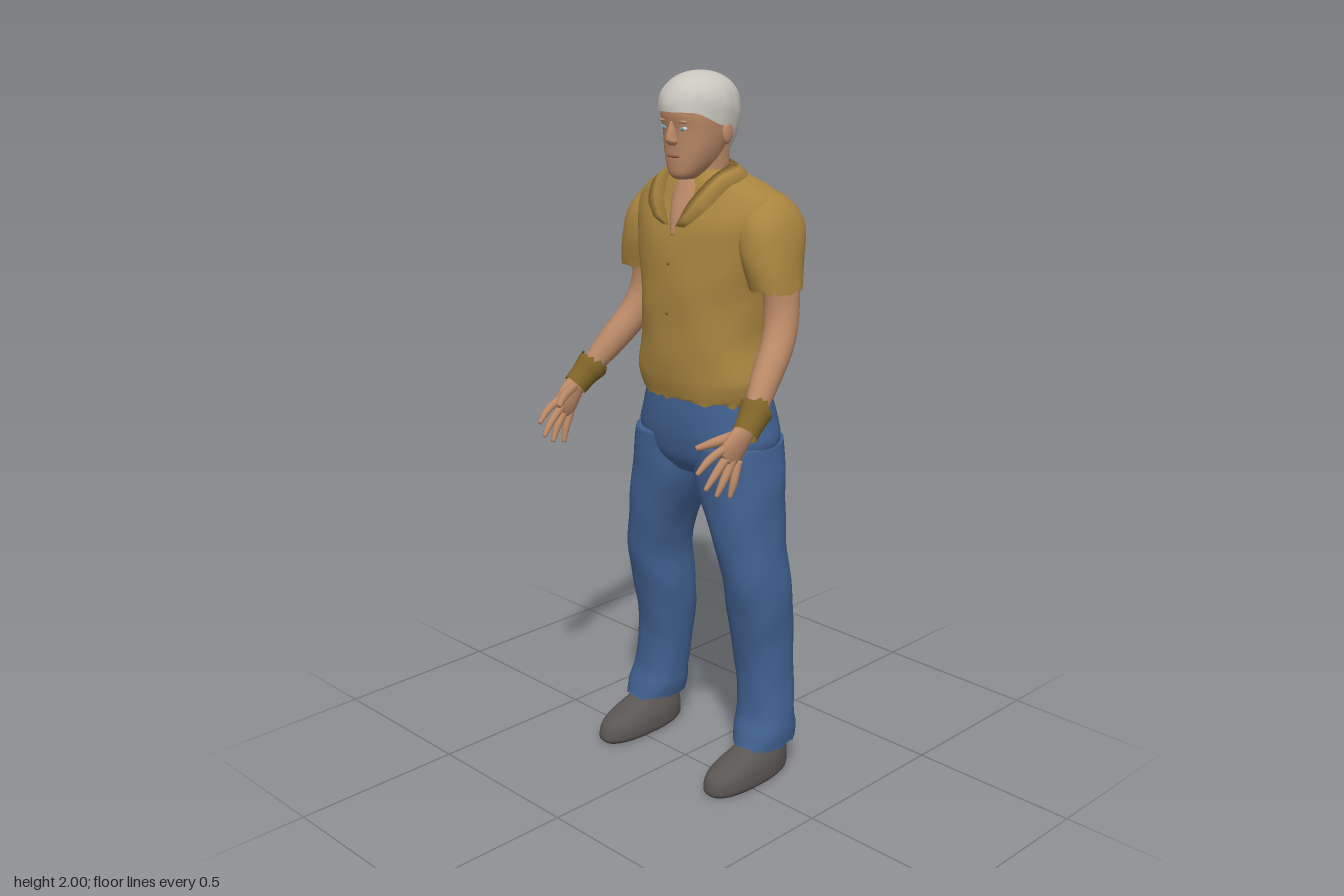
import * as THREE from 'three';

const V = (x, y, z) => new THREE.Vector3(x, y, z);
const smooth = THREE.MathUtils.smoothstep;
const TAU = Math.PI * 2;
const noise = (j) => { const s = Math.sin(j * 78.233) * 43758.5453; return s - Math.floor(s); };

// Catmull-Rom between b and c
function spline(a, b, c, d, t) {
  const k1 = c - a;
  const k2 = 2 * a - 5 * b + 4 * c - d;
  const k3 = 3 * (b - c) + d - a;
  return b + 0.5 * t * (k1 + t * (k2 + t * k3));
}

// Componentwise spline through rows of numbers
function sample(rows, steps) {
  const out = [];
  for (let i = 0; i < rows.length - 1; i++) {
    const a = rows[Math.max(i - 1, 0)], b = rows[i], c = rows[i + 1], d = rows[Math.min(i + 2, rows.length - 1)];
    for (let k = 0; k < steps; k++) {
      out.push(b.map((v, n) => spline(a[n], v, c[n], d[n], k / steps)));
    }
  }
  out.push(rows[rows.length - 1]);
  return out;
}

// Surface over closed rings of points, with optional end caps
function skin(rings, capStart = true, capEnd = true) {
  const n = rings[0].length, m = rings.length, pos = [], idx = [];
  rings.forEach((r) => r.forEach((p) => pos.push(p.x, p.y, p.z)));
  for (let i = 0; i < m - 1; i++) {
    for (let j = 0; j < n; j++) {
      const a = i * n + j, b = i * n + (j + 1) % n;
      idx.push(a, a + n, b, b, a + n, b + n);
    }
  }
  const cap = (i, flip) => {
    const c = rings[i].reduce((s, p) => s.add(p), V(0, 0, 0)).divideScalar(n), ci = pos.length / 3;
    pos.push(c.x, c.y, c.z);
    for (let j = 0; j < n; j++) {
      const a = i * n + j, b = i * n + (j + 1) % n;
      if (flip) idx.push(ci, b, a); else idx.push(ci, a, b);
    }
  };
  if (capStart) cap(0, false);
  if (capEnd) cap(m - 1, true);
  const g = new THREE.BufferGeometry();
  g.setAttribute('position', new THREE.Float32BufferAttribute(pos, 3));
  g.setIndex(idx);
  g.computeVertexNormals();
  return g;
}

// Horizontal sections, bottom to top: [y, x0, x1, zFront, zBack]
function loft(rows, { p = 2.3, seg = 40, fold = 0, jag = 0, capStart = true } = {}) {
  const pw = (v) => Math.sign(v) * Math.pow(Math.abs(v), 2 / p);
  const rings = sample(rows, 5).map(([y, x0, x1, zf, zb], i) => Array.from({ length: seg }, (_, j) => {
    const t = j / seg * TAU;
    const f = 1 + fold * (Math.sin(3 * t + y * 38) * 0.6 + Math.sin(7 * t - y * 23) * 0.4);
    return V((x0 + x1) / 2 + pw(Math.cos(t)) * f * (x1 - x0) / 2,
      y + (i === 0 ? jag * (noise(j + 1) - 0.5) : 0),
      (zf + zb) / 2 + pw(Math.sin(t)) * f * (zf - zb) / 2);
  }));
  return skin(rings, capStart);
}
const sym = (rows, opts) => loft(rows.map(([y, h, zf, zb]) => [y, -h, h, zf, zb]), opts);

// Limb along points: [x, y, z, radius across, radius along depth]
function limb(points, { seg = 16, caps = true, jag = 0 } = {}) {
  const s = sample(points, 5);
  const rings = s.map(([x, y, z, a, b], i) => {
    const q = s[Math.min(i + 1, s.length - 1)], o = s[Math.max(i - 1, 0)];
    const t = V(q[0] - o[0], q[1] - o[1], q[2] - o[2]).normalize();
    const u = V(1, 0, 0).addScaledVector(t, -t.x).normalize(), v = u.clone().cross(t);
    return Array.from({ length: seg }, (_, j) => {
      const w = j / seg * TAU;
      return V(x, y, z).addScaledVector(u, Math.cos(w) * a).addScaledVector(v, Math.sin(w) * b)
        .addScaledVector(t, i === 0 ? -jag * noise(j + 3) : 0);
    });
  });
  return skin(rings, caps, caps);
}

function blob(x, y, z, rx, ry, rz) {
  return new THREE.SphereGeometry(1, 16, 12).scale(rx, ry, rz).translate(x, y, z);
}

function mirrored(geo) {
  const g = geo.clone().scale(-1, 1, 1), a = g.index.array;
  for (let i = 0; i < a.length; i += 3) [a[i], a[i + 1]] = [a[i + 1], a[i]];
  g.computeVertexNormals();
  return g;
}

export function createModel() {
  const root = new THREE.Group();
  root.name = 'standingMan';
  const mat = (name, color, side = THREE.FrontSide) => {
    const m = new THREE.MeshStandardMaterial({ color, side });
    m.name = name;
    return m;
  };
  const shirt = mat('mustardShirt', 0xa9853f, THREE.DoubleSide);
  const cuffCloth = mat('darkMustard', 0x7f6428, THREE.DoubleSide);
  const denim = mat('blueDenim', 0x40608f, THREE.DoubleSide);
  const flesh = mat('skin', 0xb98866);
  const hairGrey = mat('greyHair', 0xc8c6bd, THREE.DoubleSide);
  const leather = mat('darkGreyShoe', 0x5a5654);
  const white = mat('offWhite', 0xd2d0ca);
  const blue = mat('eyeBlue', 0x5f9fb5);
  const lip = mat('lip', 0x96604c);
  const add = (name, geo, m) => {
    const mesh = new THREE.Mesh(geo, m);
    mesh.name = name;
    root.add(mesh);
  };
  const pair = (name, geo, m) => {
    add('left' + name, geo, m);
    add('right' + name, mirrored(geo), m);
  };

  // Shirt
  add('shirtBody', sym([
    [1.12, 0.198, 0.052, -0.232], [1.16, 0.208, 0.062, -0.242], [1.2, 0.212, 0.066, -0.25], [1.3, 0.192, 0.07, -0.25],
    [1.4, 0.195, 0.07, -0.258], [1.5, 0.21, 0.065, -0.266], [1.6, 0.24, 0.045, -0.258], [1.66, 0.235, 0.018, -0.23],
    [1.7, 0.195, 0, -0.195], [1.725, 0.135, -0.012, -0.17], [1.745, 0.085, -0.025, -0.15],
  ], { seg: 72, fold: 0.012, jag: 0.022, capStart: false }), shirt);
  pair('Sleeve', loft([
    [1.445, 0.185, 0.31, -0.018, -0.165], [1.52, 0.165, 0.298, -0.003, -0.19], [1.6, 0.13, 0.284, -0.008, -0.212],
    [1.65, 0.1, 0.26, -0.03, -0.205], [1.685, 0.1, 0.22, -0.06, -0.175], [1.7, 0.12, 0.185, -0.09, -0.145],
  ], { fold: 0.018, jag: 0.012, capStart: false }), shirt);
  // Collar: folded strip between a neck edge and a lower outer edge
  const edge = (pts) => {
    const back = pts.slice(0, -1).reverse().map(([x, y, z]) => [-x, y, z]);
    return new THREE.CatmullRomCurve3([...pts, ...back].map((q) => V(...q)));
  };
  const inner = edge([[0.012, 1.6, 0.05], [0.045, 1.665, 0.034], [0.076, 1.73, -0.02], [0.074, 1.758, -0.09], [0, 1.765, -0.15]]);
  const outer = edge([[0.07, 1.615, 0.05], [0.112, 1.655, 0.03], [0.14, 1.712, -0.028], [0.125, 1.722, -0.125], [0, 1.72, -0.19]]);
  const collarRings = Array.from({ length: 41 }, (_, i) => {
    const a = inner.getPoint(i / 40), b = outer.getPoint(i / 40), c = a.clone().lerp(b, 0.5);
    return [a, c.clone().add(V(0, 0.01, 0.006)), b, c.clone().add(V(0, -0.008, -0.004))];
  });
  add('collar', skin(collarRings), shirt);
  for (const y of [1.365, 1.5]) add('shirtButton', blob(0, y, y > 1.4 ? 0.066 : 0.071, 0.005, 0.005, 0.003), cuffCloth);

  // Trousers
  add('trouserSeat', sym([
    [0.9, 0.1, 0, -0.17], [0.94, 0.19, 0.03, -0.215], [1.0, 0.229, 0.043, -0.234],
    [1.06, 0.214, 0.046, -0.24], [1.14, 0.19, 0.04, -0.222],
  ], { seg: 56 }), denim);
  pair('TrouserLeg', loft([
    [0.11, 0.15, 0.3, -0.002, -0.195], [0.15, 0.14, 0.304, -0.015, -0.197], [0.2, 0.136, 0.298, -0.035, -0.19],
    [0.3, 0.127, 0.285, -0.04, -0.2], [0.4, 0.115, 0.28, -0.03, -0.205], [0.5, 0.11, 0.283, -0.01, -0.2],
    [0.6, 0.113, 0.282, 0.01, -0.19], [0.7, 0.088, 0.265, 0.022, -0.19], [0.8, 0.045, 0.255, 0.03, -0.2],
    [0.9, 0.004, 0.246, 0.033, -0.216], [1.0, 0, 0.225, 0.036, -0.228],
  ], { fold: 0.016, jag: 0.015, capStart: false }), denim);

  // Socks and shoes
  pair('Sock', loft([[0.09, 0.185, 0.265, -0.05, -0.165], [0.17, 0.185, 0.265, -0.06, -0.16]]), white);
  pair('Shoe', loft([
    [0, 0.17, 0.276, 0.118, -0.168], [0.015, 0.158, 0.286, 0.13, -0.181], [0.05, 0.158, 0.286, 0.121, -0.182],
    [0.075, 0.166, 0.281, 0.085, -0.18], [0.1, 0.178, 0.272, 0.02, -0.178], [0.125, 0.185, 0.266, -0.03, -0.17],
  ]), leather);

  // Arms and hands
  pair('Arm', limb([
    [0.245, 1.53, -0.105, 0.05, 0.055], [0.256, 1.4, -0.106, 0.05, 0.047], [0.274, 1.31, -0.075, 0.045, 0.046],
    [0.3, 1.22, 0.005, 0.038, 0.042], [0.323, 1.15, 0.07, 0.028, 0.031], [0.331, 1.115, 0.105, 0.023, 0.029],
  ], { seg: 24 }), flesh);
  pair('Palm', limb([
    [0.33, 1.125, 0.095, 0.022, 0.028], [0.329, 1.095, 0.13, 0.02, 0.038],
    [0.326, 1.062, 0.158, 0.016, 0.041], [0.326, 1.045, 0.177, 0.009, 0.031],
  ]), flesh);
  const digits = {
    Thumb: [[0.324, 1.108, 0.125], [0.3, 1.095, 0.185], [0.27, 1.08, 0.23]],
    IndexFinger: [[0.323, 1.082, 0.175], [0.318, 1.06, 0.23], [0.312, 1.028, 0.268]],
    MiddleFinger: [[0.325, 1.063, 0.165], [0.325, 1.02, 0.213], [0.32, 0.982, 0.246]],
    RingFinger: [[0.328, 1.048, 0.152], [0.33, 0.998, 0.188], [0.325, 0.957, 0.21]],
    LittleFinger: [[0.33, 1.04, 0.134], [0.333, 0.985, 0.154], [0.33, 0.945, 0.165]],
  };
  for (const [name, [a, b, c]] of Object.entries(digits)) {
    const r = name === 'Thumb' ? 0.014 : 0.0115;
    pair(name, limb([[...a, r, r], [...b, r * 0.95, r * 0.95], [...c, r * 0.5, r * 0.5]], { seg: 10 }), flesh);
  }
  // Ragged wristbands
  pair('Wristband', limb([
    [0.322, 1.155, 0.062, 0.045, 0.047], [0.327, 1.135, 0.083, 0.038, 0.04], [0.333, 1.105, 0.115, 0.033, 0.038],
  ], { seg: 28, caps: false, jag: 0.024 }), cuffCloth);

  // Neck and head
  add('neck', sym([
    [1.575, 0.014, 0.054, -0.08], [1.62, 0.04, 0.046, -0.12], [1.66, 0.058, 0.03, -0.13],
    [1.7, 0.066, 0.008, -0.135], [1.74, 0.064, -0.014, -0.135], [1.82, 0.066, -0.01, -0.135],
  ]), flesh);
  add('head', sym([
    [1.722, 0.026, 0.032, -0.03], [1.735, 0.042, 0.043, -0.05], [1.765, 0.061, 0.046, -0.095], [1.8, 0.074, 0.046, -0.115],
    [1.85, 0.084, 0.048, -0.145], [1.9, 0.086, 0.056, -0.16], [1.95, 0.072, 0.035, -0.14], [1.975, 0.045, 0, -0.1],
  ]), flesh);
  add('nose', sym([
    [1.812, 0.011, 0.056, 0.02], [1.822, 0.017, 0.067, 0.02], [1.835, 0.013, 0.069, 0.02], [1.875, 0.008, 0.054, 0.02],
  ], { seg: 16 }), flesh);
  pair('Ear', blob(0.088, 1.843, -0.068, 0.01, 0.03, 0.019), flesh);
  pair('EyeWhite', blob(0.034, 1.857, 0.041, 0.014, 0.006, 0.006), white);
  pair('Iris', blob(0.034, 1.857, 0.045, 0.006, 0.0055, 0.004), blue);
  pair('Brow', blob(0.034, 1.875, 0.045, 0.019, 0.004, 0.007), flesh);
  add('mouth', blob(0, 1.784, 0.045, 0.024, 0.005, 0.006), lip);

  // Hair: dome whose lower edge rises from nape to fringe
  const hairPoint = (t, k) => {
    const s = Math.sin(t);
    const low = 1.788 + 0.075 * smooth(s, -0.5, -0.2) + 0.037 * smooth(s, 0, 0.8);
    const y = low + (2 - low) * k, d = y - 1.895;
    const dome = Math.sqrt(Math.max(1 - Math.pow(Math.max(d, 0) / 0.105, 2.5), 0));
    const taper = 1 - 0.24 * Math.pow(Math.min(d, 0) / 0.1, 2);
    const r = dome * taper * (1 + 0.012 * Math.sin(5 * t + y * 60) * Math.sin(9 * t - y * 35));
    return V(Math.cos(t) * 0.098 * r, y, -0.052 + s * 0.122 * r);
  };
  const hairRings = Array.from({ length: 19 }, (_, i) => {
    const k = Math.sin(i / 18 * Math.PI / 2);
    return Array.from({ length: 48 }, (_, j) => hairPoint(j / 48 * TAU, k));
  });
  add('hair', skin(hairRings, false), hairGrey);

  return root;
}
